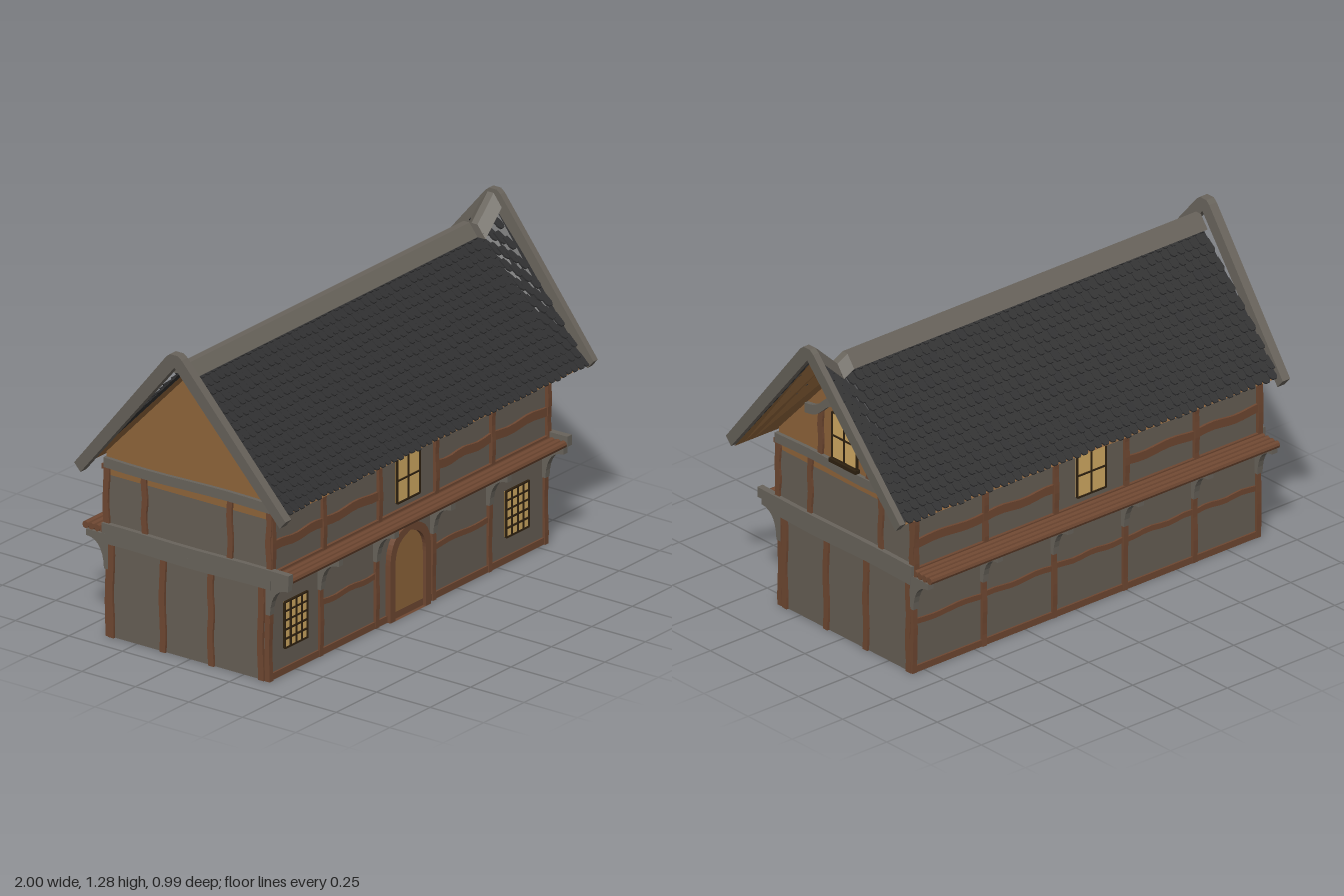
import * as THREE from 'three';
import { mergeGeometries } from 'three/addons/utils/BufferGeometryUtils.js';

const mat = (name, color) => {
  const m = new THREE.MeshStandardMaterial({ color, flatShading: true });
  m.name = name;
  return m;
};
const ZC = -0.01;      // centre line of the house in z
const EAVE = 0.70;     // height of the eaves

// ridge height along the house: level, a small dip, then a rise over the right overhang
function ridge(x) {
  if (x < 0.81) return 1.17;
  if (x < 0.86) return 1.17 - (x - 0.81) * 0.5;
  return 1.145 + (x - 0.86) * 0.95;
}
// point on the roof: t = 0 at the ridge, 1 at the eaves; s = side
function roofPoint(x, t, s, lift = 0) {
  return new THREE.Vector3(x, ridge(x) + (EAVE - ridge(x)) * t + lift, ZC + s * 0.455 * t);
}

export function createModel() {
  const house = new THREE.Group();
  house.name = 'timberHouse';
  const stone = mat('wallGrey', 0x665e54), grey = mat('weatheredWood', 0x68635b);
  const brown = mat('brownTimber', 0x6e4731), tan = mat('tanBoards', 0x8e643a);
  const glass = mat('litGlass', 0xd0a962), dark = mat('darkBars', 0x2e2110);
  const slate = mat('slate', 0x303031);
  tan.side = slate.side = THREE.DoubleSide;

  let seed = 11;
  const rnd = () => (seed = (seed * 16807) % 2147483647) / 2147483647;

  const add = (name, geo, m, parent = house) => {
    const mesh = new THREE.Mesh(geo, m);
    mesh.name = name;
    parent.add(mesh);
    return mesh;
  };
  // box between limits; a wobble bends it like hand-hewn timber
  const box = (name, m, [x0, x1], [y0, y1], [z0, z1], wob = 0, parent = house) => {
    const size = [x1 - x0, y1 - y0, z1 - z0];
    const axis = size.indexOf(Math.max(...size));
    const seg = [0, 1, 2].map(i => (wob && i === axis ? 8 : 1));
    const g = new THREE.BoxGeometry(...size, ...seg);
    if (wob) {
      const p = g.attributes.position, ph = rnd() * 6, f = 2 + rnd() * 2;
      for (let i = 0; i < p.count; i++) {
        const u = p.getComponent(i, axis) / size[axis];
        const off = wob * Math.sin(u * f * 3 + ph);
        const across = axis === 1 ? (size[0] > size[2] ? 0 : 2) : 1;
        p.setComponent(i, across, p.getComponent(i, across) + off);
      }
      g.computeVertexNormals();
    }
    g.translate((x0 + x1) / 2, (y0 + y1) / 2, (z0 + z1) / 2);
    return add(name, g, m, parent);
  };
  // outline given as [z, y], pushed along x
  const alongX = (pts, x0, x1, steps = 1) => {
    const g = new THREE.ExtrudeGeometry(new THREE.Shape(pts.map(p => new THREE.Vector2(...p))),
      { depth: x1 - x0, bevelEnabled: false, steps });
    return g.rotateY(-Math.PI / 2).translate(x1, 0, 0);
  };
  const mirrored = half => [...half, ...half.slice().reverse().filter(p => p[0] !== 0).map(([z, y]) => [-z, y])];
  const moveVerts = (g, fn) => {
    const p = g.attributes.position, v = new THREE.Vector3();
    for (let i = 0; i < p.count; i++) {
      fn(v.fromBufferAttribute(p, i));
      p.setXYZ(i, v.x, v.y, v.z);
    }
    g.computeVertexNormals();
    return g;
  };

  // walls and gable block
  box('groundFloor', stone, [-0.91, 0.802], [0, 0.42], [-0.382, 0.362]);
  box('upperFloor', stone, [-0.91, 0.802], [0.42, 0.65], [-0.39, 0.375]);
  const gable = [[-0.383, 0.65], [0.383, 0.65], [0.383, 0.74], [0, 1.14], [-0.383, 0.74]];
  add('gableBlock', alongX(gable, -0.91, 0.802).translate(0, 0, ZC), tan);

  // timber frame of the long walls
  const posts = [-0.905, -0.59, -0.245, 0.105, 0.453, 0.798];
  for (const s of [1, -1]) {
    const lo = s > 0 ? 0.362 : 0.382, hi = s > 0 ? 0.375 : 0.39;
    const zr = (w, d) => (s > 0 ? [w - 0.01, w + d] : [-w - d, -w + 0.01]);
    box('sill', brown, [-0.915, 0.807], [0, 0.027], zr(lo, 0.008));
    box('girder', brown, [-0.915, 0.807], [0.375, 0.395], zr(lo, 0.014));
    box('footRail', brown, [-0.915, 0.807], [0.425, 0.442], zr(hi, 0.012));
    box('wallPlate', brown, [-0.92, 0.812], [0.672, 0.692], zr(hi, 0.018));
    // ledge of round poles
    for (let i = 0; i < 4; i++) {
      const pole = new THREE.CylinderGeometry(0.0145, 0.0145, 1.725, 8).rotateZ(Math.PI / 2);
      add('ledgePole', pole.translate(-0.0525, 0.424, s * (lo + 0.024 + i * 0.027 - (s > 0 ? 0.01 : 0))), brown);
    }
    posts.forEach((x, i) => {
      box('groundPost', brown, [x - 0.011, x + 0.011], [0, 0.38], zr(lo, 0.012), 0.002);
      box('upperPost', brown, [x - 0.011, x + 0.011], [0.43, 0.69], zr(hi, 0.014), 0.002);
      // curved bracket under the ledge
      const c = new THREE.QuadraticBezierCurve(new THREE.Vector2(0.1, 0.385),
        new THREE.Vector2(0.02, 0.385), new THREE.Vector2(0.016, 0.27)).getPoints(7);
      const pts = [[-0.005, 0.27], [-0.005, 0.41], [0.1, 0.41], ...c.map(p => [p.x, p.y])];
      add('bracket', alongX(pts.map(([z, y]) => [s * (lo + z), y]), x - 0.013, x + 0.013), grey);
      // rails between this post and the next
      if (i === 5) return;
      const span = [x + 0.012, posts[i + 1] - 0.012];
      if (s < 0 || i === 1 || i === 3) box('groundRail', brown, span, [0.2, 0.222], zr(lo, 0.008), 0.004);
      if (i !== 2) box('upperRail', brown, span, [0.525, 0.56], zr(hi, 0.01), 0.005);
    });
  }

  // timber frame of the end walls
  for (const e of [1, -1]) {
    const xr = d => (e > 0 ? [0.795, 0.802 + d] : [-0.91 - d, -0.903]);
    for (const z of [0.335, 0.1, -0.125, -0.367])
      box('endGroundPost', brown, xr(0.01), [0, 0.38], [z - 0.013, z + 0.013], 0.003);
    for (const z of [0.372, 0.19, -0.21, -0.388])
      box('endUpperPost', brown, xr(0.01), [0.45, 0.69], [z - 0.012, z + 0.012], 0.003);
    box('endLowerBeam', grey, xr(0.012), [0.372, 0.412], [-0.385, 0.382], 0.003);
    box('endLedgeBeam', grey, xr(0.02), [0.415, 0.456], [-0.4, 0.474], 0.002);
    box('gableBeam', grey, xr(0.016), [0.683, 0.722], [-0.395, 0.382], 0.004);
  }

  // windows, built facing +z and then placed
  const windowUnit = (name, w, h, cols, rows, x, y, z, turn) => {
    const g = new THREE.Group();
    g.name = name;
    box('pane', glass, [-w / 2, w / 2], [0, h], [-0.004, 0.004], 0, g);
    for (let i = 0; i <= cols; i++) {
      const u = -w / 2 + (w * i) / cols;
      box('bar', dark, [u - 0.003, u + 0.003], [0, h], [0, 0.009], 0, g);
    }
    for (let j = 0; j <= rows; j++) {
      const v = (h * j) / rows;
      box('crossBar', dark, [-w / 2, w / 2], [v - 0.003, v + 0.003], [0, 0.009], 0, g);
    }
    g.position.set(x, y, z);
    g.rotation.y = turn;
    house.add(g);
  };
  windowUnit('leftGroundWindow', 0.14, 0.185, 4, 5, 0.622, 0.105, 0.366, 0);
  windowUnit('rightGroundWindow', 0.14, 0.185, 4, 5, -0.747, 0.105, 0.366, 0);
  windowUnit('frontUpperWindow', 0.14, 0.18, 2, 2, -0.07, 0.47, 0.379, 0);
  windowUnit('backUpperWindow', 0.14, 0.18, 2, 2, -0.07, 0.47, -0.394, Math.PI);
  windowUnit('gableWindow', 0.14, 0.19, 2, 2, 0.806, 0.735, -0.008, Math.PI / 2);
  box('gableSill', dark, [0.795, 0.825], [0.72, 0.735], [-0.085, 0.068]);
  for (const z of [0.13, -0.143])
    box('gablePost', brown, [0.795, 0.812], [0.72, 0.91], [z - 0.013, z + 0.013], 0.003);
  // bowed beam over the gable window
  const bow = new THREE.SplineCurve([[-0.215, 0.89], [-0.15, 0.905], [-0.075, 0.965], [0, 0.985],
    [0.075, 0.965], [0.15, 0.905], [0.215, 0.89]].map(p => new THREE.Vector2(...p))).getPoints(24);
  const bowPts = [...bow.map(p => [p.x, p.y - 0.02]), ...bow.slice().reverse().map(p => [p.x, p.y + 0.02])];
  add('bowedBeam', alongX(bowPts, 0.795, 0.82).translate(0, 0, -0.006), grey);

  // pointed door and its frame
  const arch = (w, spring, top, Kind) => {
    const s = new Kind();
    s.moveTo(-w, 0).lineTo(w, 0).lineTo(w, spring);
    s.quadraticCurveTo(w, top - 0.045, w * 0.45, top - 0.018).lineTo(0, top);
    s.lineTo(-w * 0.45, top - 0.018).quadraticCurveTo(-w, top - 0.045, -w, spring);
    return s;
  };
  const frame = arch(0.125, 0.23, 0.37, THREE.Shape);
  frame.holes.push(arch(0.095, 0.22, 0.34, THREE.Path));
  const opts = depth => ({ depth, bevelEnabled: false, curveSegments: 8 });
  add('doorFrame', new THREE.ExtrudeGeometry(frame, opts(0.03)).translate(-0.056, 0, 0.355), brown);
  add('door', new THREE.ExtrudeGeometry(arch(0.096, 0.22, 0.341, THREE.Shape), opts(0.014)).translate(-0.056, 0, 0.355), tan);

  // roof deck and soffit
  for (const s of [1, -1]) {
    for (const [name, m, lift] of [['roofDeck', slate, 0], ['soffit', tan, -0.015]]) {
      const g = new THREE.PlaneGeometry(1, 1, 40, 1);
      moveVerts(g, v => v.copy(roofPoint(-0.94 + (v.x + 0.5) * 1.9, 0.5 - v.y, s, lift)));
      add(name, g, m);
    }
  }

  // slates in overlapping rows with rounded lower ends
  const W = 0.036, ROWS = 16, L = 0.06;
  const outline = [[-0.48, 0], [0.48, 0], [0.48, 0.75], [0.25, 0.97], [-0.25, 0.97], [-0.48, 0.75]];
  const slateGeo = new THREE.ExtrudeGeometry(
    new THREE.Shape(outline.map(([a, b]) => new THREE.Vector2(a * W, b * L))), { depth: 0.007, bevelEnabled: false });
  const slates = [];
  for (const s of [1, -1]) for (let r = 0; r < ROWS; r++) {
    for (let x = -0.92 + (r % 2) * W * 0.5; x < 0.945; x += W) {
      const t = (r + (rnd() - 0.5) * 0.2) / ROWS;
      const down = roofPoint(x, 1, s).sub(roofPoint(x, 0, s)).normalize();
      const out = new THREE.Vector3(0, -down.z * -s, 0).set(0, Math.abs(down.z), -s * down.y);
      down.addScaledVector(out, 0.13 + rnd() * 0.06).normalize();
      const side = new THREE.Vector3(s, 0, 0);
      out.crossVectors(side, down);
      if (out.y < 0) { side.negate(); out.negate(); }
      const m = new THREE.Matrix4().makeBasis(side, down, out).setPosition(roofPoint(x, t, s, 0.001));
      slates.push(slateGeo.clone().applyMatrix4(m));
    }
  }
  add('roofSlates', mergeGeometries(slates), slate);

  // ridge cap following the ridge line
  const cap = mirrored([[0.052, 1.15], [0.014, 1.2], [0, 1.2]]);
  const capGeo = alongX([...cap, [0, 1.155]], -0.94, 0.96, 38).translate(0, 0, ZC);
  add('ridgeCap', moveVerts(capGeo, v => { v.y += ridge(v.x) - 1.17; }), grey);

  // leaning verge boards at both ends
  const half = [[0.466, 0.682], [0.494, 0.715], [0.036, 1.266], [0.018, 1.28]];
  const verge = [...mirrored(half), [0, 1.228]];
  for (const [name, x0, x1, lean, drop] of [['leftVerge', 0.94, 0.967, 0.055, 0], ['rightVerge', -0.962, -0.925, -0.065, 0.028]]) {
    const g = alongX(verge, x0, x1).translate(0, 0, ZC + 0.001);
    add(name, moveVerts(g, v => { v.x += lean * (v.y - 0.69); v.y -= drop; }), grey);
  }
  return house;
}
